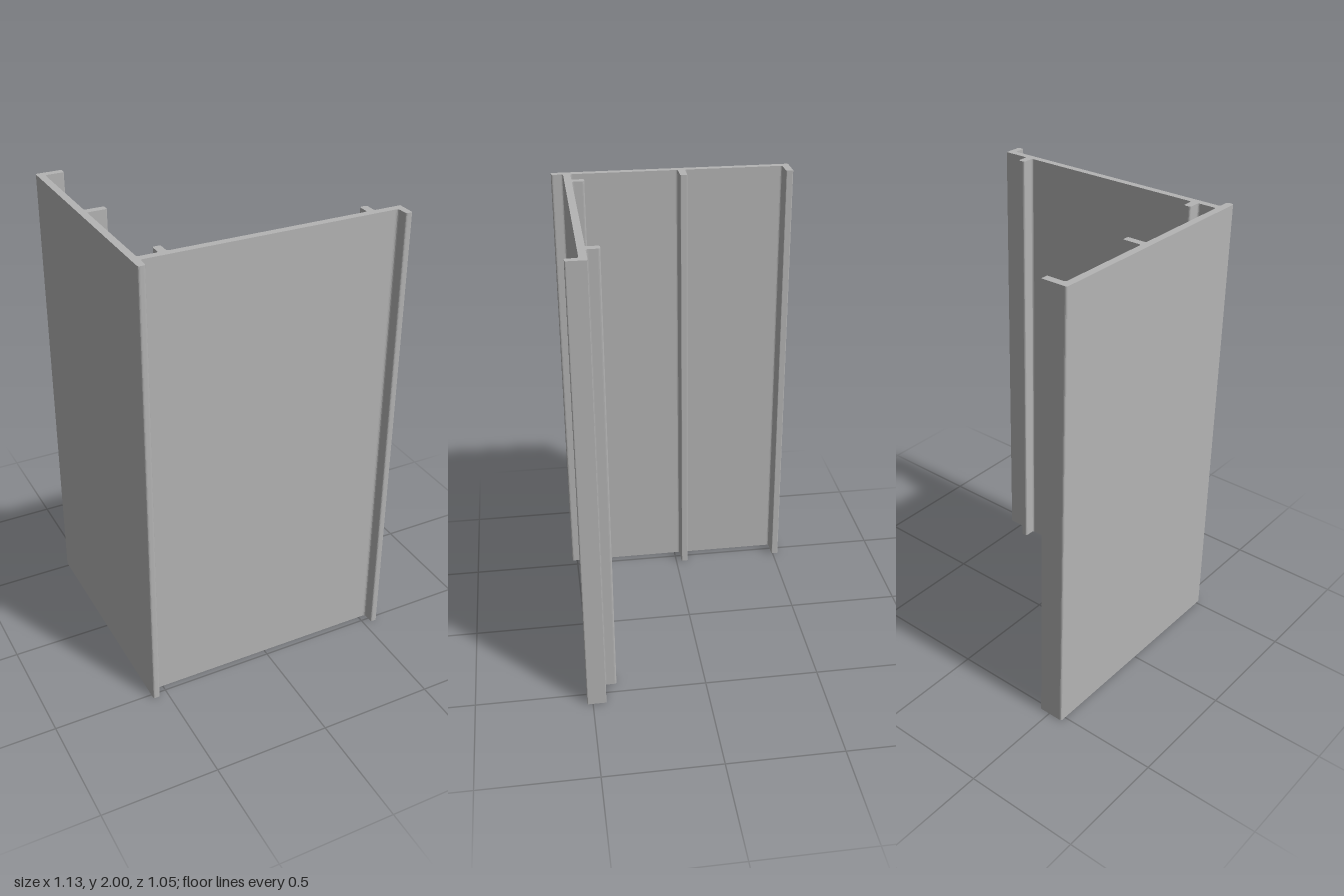
import * as THREE from 'three';

const HEIGHT = 2;
const R = 0.01; // rounding of tips and inner corners

// Closed outline from [x, z, radius] corners, each corner rounded by its radius.
// Shape y is -z, so that standing the extrusion up restores z.
function roundedOutline(corners) {
  const pts = corners.map(([x, z]) => new THREE.Vector2(x, -z));
  const shape = new THREE.Shape();
  corners.forEach(([, , r = R], i) => {
    const p = pts[i];
    const prev = pts[(i + pts.length - 1) % pts.length];
    const next = pts[(i + 1) % pts.length];
    const a = prev.clone().sub(p).setLength(r).add(p);
    const b = next.clone().sub(p).setLength(r).add(p);
    if (i === 0) shape.moveTo(a.x, a.y);
    else shape.lineTo(a.x, a.y);
    if (r > 0) shape.quadraticCurveTo(p.x, p.y, b.x, b.y);
  });
  shape.closePath();
  return shape;
}

// Upright rib on the inner side of the front wall, listed from right to left
const rib = (x0, x1) => [[x1, 0.442], [x1, 0.388], [x0, 0.388], [x0, 0.442]];

// Flange pointing inward from the side wall, listed from front to back
const flange = (z0, z1) => [[-0.535, z1], [-0.453, z1, 0.005], [-0.453, z0, 0.005], [-0.535, z0]];

export function createModel() {
  const model = new THREE.Group();
  model.name = 'angleProfile';

  const metal = new THREE.MeshStandardMaterial({ color: 0xb4b4b4 });
  metal.name = 'plainGrey';

  const outline = roundedOutline([
    // side wall, outer face and front tip
    [-0.566, -0.526],
    [-0.566, 0.525],
    [-0.535, 0.525],
    // front wall outer face and its end lip
    [-0.535, 0.473],
    [0.536, 0.473, 0.013],
    [0.536, 0.525],
    [0.565, 0.525, 0.006],
    [0.565, 0.442, 0.003],
    // inner ribs of the front wall
    ...rib(0.415, 0.448),
    ...rib(-0.452, -0.419),
    [-0.535, 0.442],
    // inner flanges of the side wall
    ...flange(-0.058, -0.027),
    [-0.535, -0.494],
    [-0.453, -0.494, 0.005],
    [-0.453, -0.526, 0.005],
  ]);

  const geometry = new THREE.ExtrudeGeometry(outline, {
    depth: HEIGHT,
    bevelEnabled: false,
    curveSegments: 4,
  });
  geometry.rotateX(-Math.PI / 2); // stand the extrusion on y = 0

  const profile = new THREE.Mesh(geometry, metal);
  profile.name = 'extrudedProfile';
  model.add(profile);
  return model;
}
